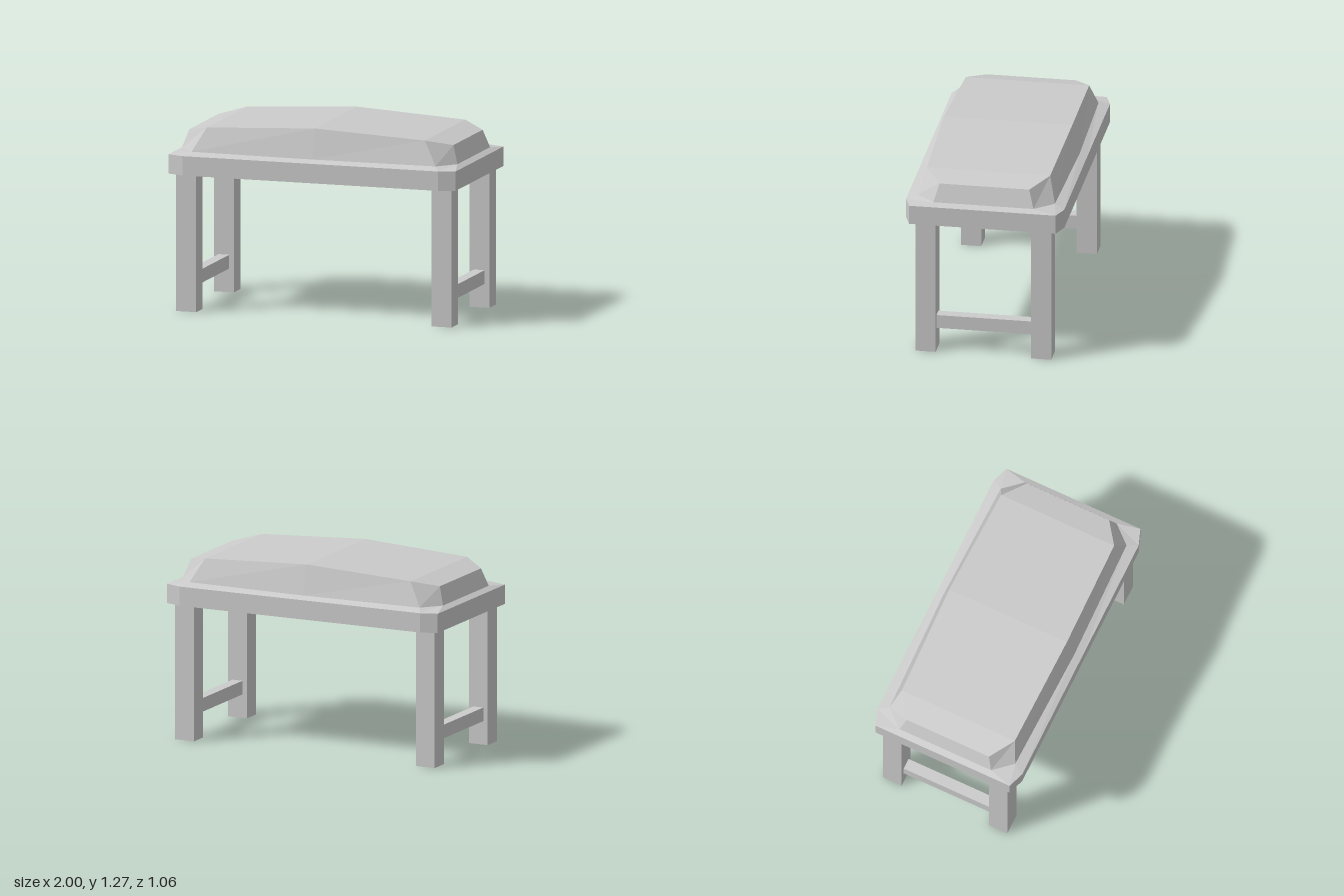
import * as THREE from 'three';

const material = new THREE.MeshStandardMaterial({ color: 0xcccccc, flatShading: true });

// Ten-point outline mirrored from three points: front middle, front corner, side corner
function ring([mid, front, side]) {
  const p = ([x, y, z], sx, sz) => [x * sx, y, z * sz];
  return [
    p(mid, 1, 1), p(front, 1, 1), p(side, 1, 1), p(side, 1, -1), p(front, 1, -1),
    p(mid, 1, -1), p(front, -1, -1), p(side, -1, -1), p(side, -1, 1), p(front, -1, 1),
  ];
}

// Skins a stack of outlines, from bottom to top, with optional strip caps
function loft(name, outlines, capBottom, capTop) {
  const rings = outlines.map(ring);
  const pos = [];
  const quad = (a, b, c, d) => pos.push(...a, ...b, ...c, ...a, ...c, ...d);
  for (let r = 0; r < rings.length - 1; r++) {
    const lo = rings[r], hi = rings[r + 1];
    for (let i = 0; i < 10; i++) {
      const j = (i + 1) % 10;
      quad(lo[i], lo[j], hi[j], hi[i]);
    }
  }
  const columns = [[8, 7], [9, 6], [0, 5], [1, 4], [2, 3]]; // front and back index, left to right
  for (let i = 0; i < 4; i++) {
    const [f0, b0] = columns[i], [f1, b1] = columns[i + 1];
    const top = rings[rings.length - 1], bottom = rings[0];
    if (capTop) quad(top[f0], top[f1], top[b1], top[b0]);
    if (capBottom) quad(bottom[f0], bottom[b0], bottom[b1], bottom[f1]);
  }
  const geometry = new THREE.BufferGeometry();
  geometry.setAttribute('position', new THREE.Float32BufferAttribute(pos, 3));
  geometry.computeVertexNormals();
  const mesh = new THREE.Mesh(geometry, material);
  mesh.name = name;
  return mesh;
}

function box(name, w, h, d, x, y, z) {
  const mesh = new THREE.Mesh(new THREE.BoxGeometry(w, h, d), material);
  mesh.position.set(x, y, z);
  mesh.name = name;
  return mesh;
}

export function createModel() {
  const model = new THREE.Group();
  model.name = 'bench';

  const slabOutline = (y) => [[0, y, 0.53], [0.89, y, 0.53], [1, y, 0.49]];
  const cushionBase = [[0, 1.075, 0.48], [0.85, 1.075, 0.46], [0.96, 1.075, 0.335]];
  const cushionTop = [[0, 1.275, 0.43], [0.76, 1.235, 0.413], [0.92, 1.195, 0.30]];

  // Chamfered slab whose top slopes up to the cushion
  model.add(loft('seatFrame', [slabOutline(0.925), slabOutline(1.055), cushionBase], true, false));
  // Crowned cushion with tapered sides
  model.add(loft('cushion', [cushionBase, cushionTop], false, true));

  // Legs, with a stretcher joining each end pair
  for (const sx of [-1, 1]) {
    const side = sx > 0 ? 'left' : 'right';
    for (const sz of [-1, 1]) {
      const end = sz > 0 ? 'Front' : 'Back';
      model.add(box(`${side}${end}Leg`, 0.14, 0.925, 0.135, sx * 0.89, 0.4625, sz * 0.387));
    }
    model.add(box(`${side}Stretcher`, 0.075, 0.092, 0.64, sx * 0.89, 0.205, 0));
  }
  return model;
}
